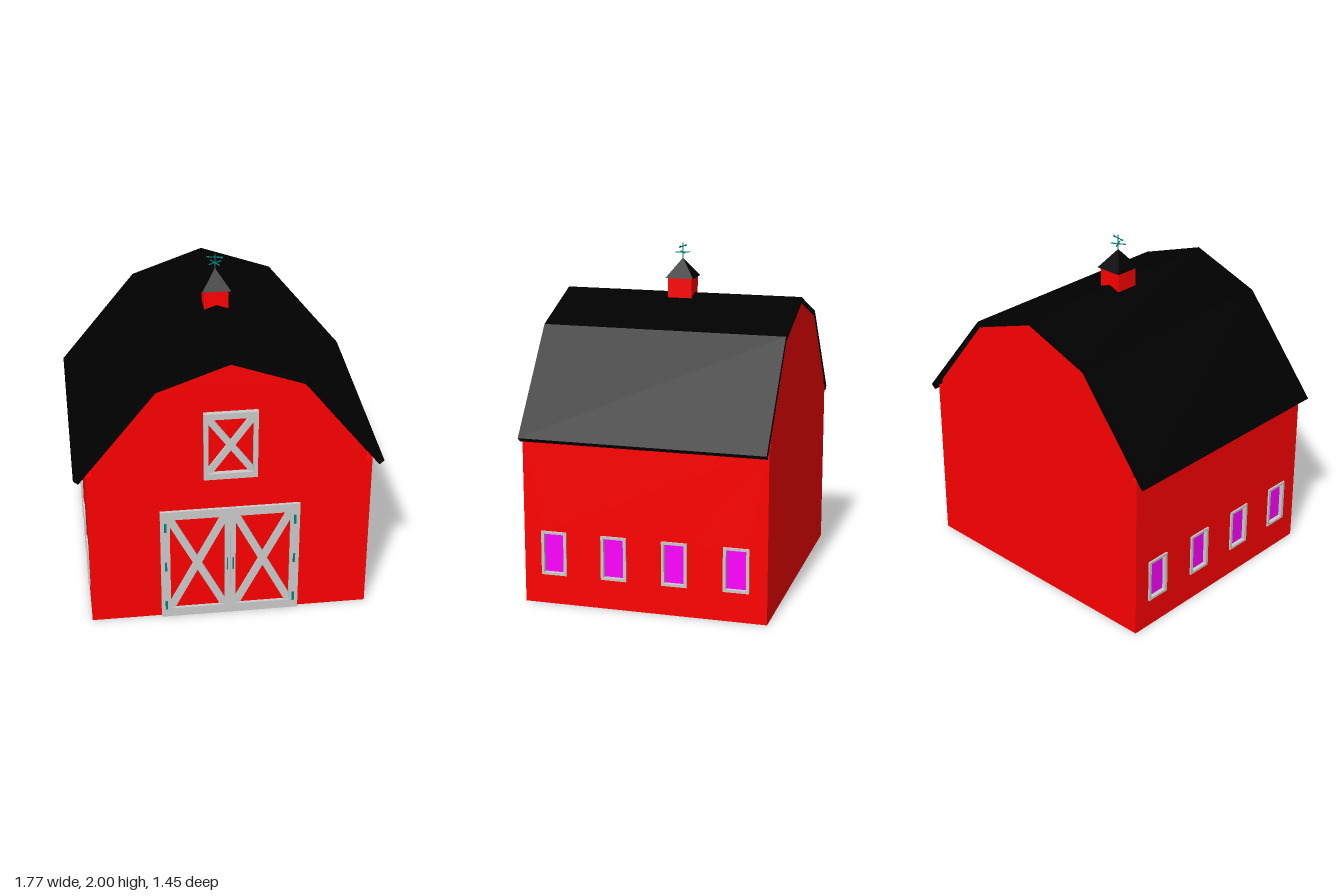
import * as THREE from 'three';

const mat = (color) => new THREE.MeshStandardMaterial({ color, flatShading: true });
const BACK = -0.725, FRONT = 0.7;

export function createModel() {
  const red = mat(0xff0000), black = mat(0x000000), grey = mat(0xcccccc);
  const glass = mat(0xff00ff), teal = mat(0x008080);
  const model = new THREE.Group();
  model.name = 'barn';

  const add = (parent, name, geometry, material, x = 0, y = 0, z = 0) => {
    const mesh = new THREE.Mesh(geometry, material);
    mesh.name = name;
    mesh.position.set(x, y, z);
    parent.add(mesh);
    return mesh;
  };
  const box = (w, h, d) => new THREE.BoxGeometry(w, h, d);
  const polygon = (pts) => new THREE.Shape(pts.map(([x, y]) => new THREE.Vector2(x, y)));
  const rect = (x0, y0, x1, y1) => [[x0, y0], [x1, y0], [x1, y1], [x0, y1]];
  const extrude = (shape, depth) => new THREE.ExtrudeGeometry(shape, { depth, bevelEnabled: false });
  const frame = (outer, holes, depth) => {
    const shape = polygon(outer);
    shape.holes = holes.map((h) => polygon(h));
    return extrude(shape, depth);
  };
  const mirrorX = (pts) => pts.map(([x, y]) => [-x, y]).reverse();

  // Two crossing boards, trimmed to fit a rectangular opening
  const crossBrace = (parent, name, x0, y0, x1, y1, t, depth, z) => {
    const w = (x1 - x0) / 2, h = (y1 - y0) / 2, l = Math.hypot(w, h);
    const a = (t * l) / (2 * h), b = (t * l) / (2 * w);
    const board = [[-w, -h], [a - w, -h], [w, h - b], [w, h], [w - a, h], [-w, b - h]];
    add(parent, name, extrude(polygon(board), depth), grey, x0 + w, y0 + h, z);
    add(parent, name, extrude(polygon(mirrorX(board)), depth - 0.001), grey, x0 + w, y0 + h, z);
  };

  // Barn body with a gambrel outline
  const half = 0.78;
  const side = [[half, 0], [half, 1.06], [0.415, 1.525]];
  add(model, 'body', extrude(polygon([...side, [0, 1.675], ...mirrorX(side)]), FRONT - BACK), red, 0, 0, BACK);

  // Gambrel roof shell
  const outer = [[0.885, 0.99], [0.428, 1.557]];
  const inner = [[0.857, 0.965], [0.413, 1.525]];
  const roof = [...outer, [0, 1.71], ...mirrorX(outer), ...mirrorX(inner).reverse(), [0, 1.673], ...inner.slice().reverse()];
  add(model, 'roof', extrude(polygon(roof), FRONT - BACK), black, 0, 0, BACK);

  // Side walls with recessed, framed windows
  const windowZ = [0.522, 0.166, -0.19, -0.547];
  for (const s of [1, -1]) {
    const wall = new THREE.Group();
    wall.name = s > 0 ? 'leftWall' : 'rightWall';
    wall.rotation.y = (s * Math.PI) / 2;
    model.add(wall);
    // Local x runs along the wall, local z points outwards
    const along = (z) => -s * z;
    const ends = [along(BACK), along(FRONT)].sort((p, q) => p - q);
    const holes = windowZ.map((z) => rect(along(z) - 0.065, 0.185, along(z) + 0.065, 0.425));
    add(wall, 'wallPanel', frame(rect(ends[0], 0, ends[1], 1.01), holes, 0.035), red, 0, 0, half);
    for (const z of windowZ) {
      const surround = frame(rect(-0.075, -0.13, 0.075, 0.13), [rect(-0.058, -0.115, 0.058, 0.115)], 0.03);
      add(wall, 'windowFrame', surround, grey, along(z), 0.305, 0.795);
      add(wall, 'windowPane', box(0.12, 0.234, 0.01), glass, along(z), 0.305, 0.797);
    }
  }

  // Double front door
  const door = new THREE.Group();
  door.name = 'frontDoor';
  model.add(door);
  for (const s of [1, -1]) {
    const span = (p, q) => (s > 0 ? [p, q] : [-q, -p]);
    const [x0, x1] = span(0.001, 0.405), [h0, h1] = span(0.032, 0.35);
    add(door, 'doorFrame', frame(rect(x0, 0, x1, 0.745), [rect(h0, 0.058, h1, 0.69)], 0.02), grey, 0, 0, FRONT - 0.002);
    crossBrace(door, 'doorBrace', h0, 0.058, h1, 0.69, 0.045, 0.015, FRONT - 0.002);
    for (const y of [0.64, 0.365, 0.085]) add(door, 'hinge', box(0.013, 0.06, 0.01), teal, s * 0.376, y, 0.719);
    // Pull handle standing off the door on two short posts
    add(door, 'handle', box(0.007, 0.08, 0.005), teal, s * 0.017, 0.36, 0.726);
    for (const y of [0.325, 0.395]) add(door, 'handlePost', box(0.007, 0.008, 0.012), teal, s * 0.017, y, 0.721);
  }

  // Hayloft door
  const loft = new THREE.Group();
  loft.name = 'loftDoor';
  model.add(loft);
  const opening = [-0.127, 0.993, 0.127, 1.347];
  add(loft, 'loftFrame', frame(rect(-0.153, 0.955, 0.153, 1.385), [rect(...opening)], 0.03), grey, 0, 0, FRONT - 0.002);
  crossBrace(loft, 'loftBrace', ...opening, 0.038, 0.02, FRONT - 0.002);

  // Cupola with a pyramid roof
  const cupola = new THREE.Group();
  cupola.name = 'cupola';
  cupola.position.z = -0.013;
  model.add(cupola);
  add(cupola, 'cupolaBase', box(0.142, 0.16, 0.142), red, 0, 1.72, 0);
  const cap = new THREE.ConeGeometry(0.084 * Math.SQRT2, 0.112, 4).rotateY(Math.PI / 4);
  add(cupola, 'cupolaRoof', cap, black, 0, 1.856, 0);

  // Weather vane: pole, compass cross and arrow
  const vane = new THREE.Group();
  vane.name = 'weatherVane';
  cupola.add(vane);
  add(vane, 'pole', new THREE.CylinderGeometry(0.003, 0.003, 0.1, 8), teal, 0, 1.95, 0);
  for (const angle of [Math.PI / 6, (2 * Math.PI) / 3]) {
    add(vane, 'compassArm', box(0.09, 0.005, 0.005), teal, 0, 1.945, 0).rotation.y = angle;
  }
  const arrow = new THREE.Group();
  arrow.name = 'arrow';
  arrow.position.y = 1.98;
  arrow.rotation.y = -0.2;
  vane.add(arrow);
  add(arrow, 'shaft', box(0.09, 0.005, 0.004), teal);
  add(arrow, 'tip', new THREE.ConeGeometry(0.007, 0.016, 4).rotateZ(Math.PI / 2), teal, -0.044);
  add(arrow, 'tail', box(0.014, 0.012, 0.003), teal, 0.038);

  return model;
}
